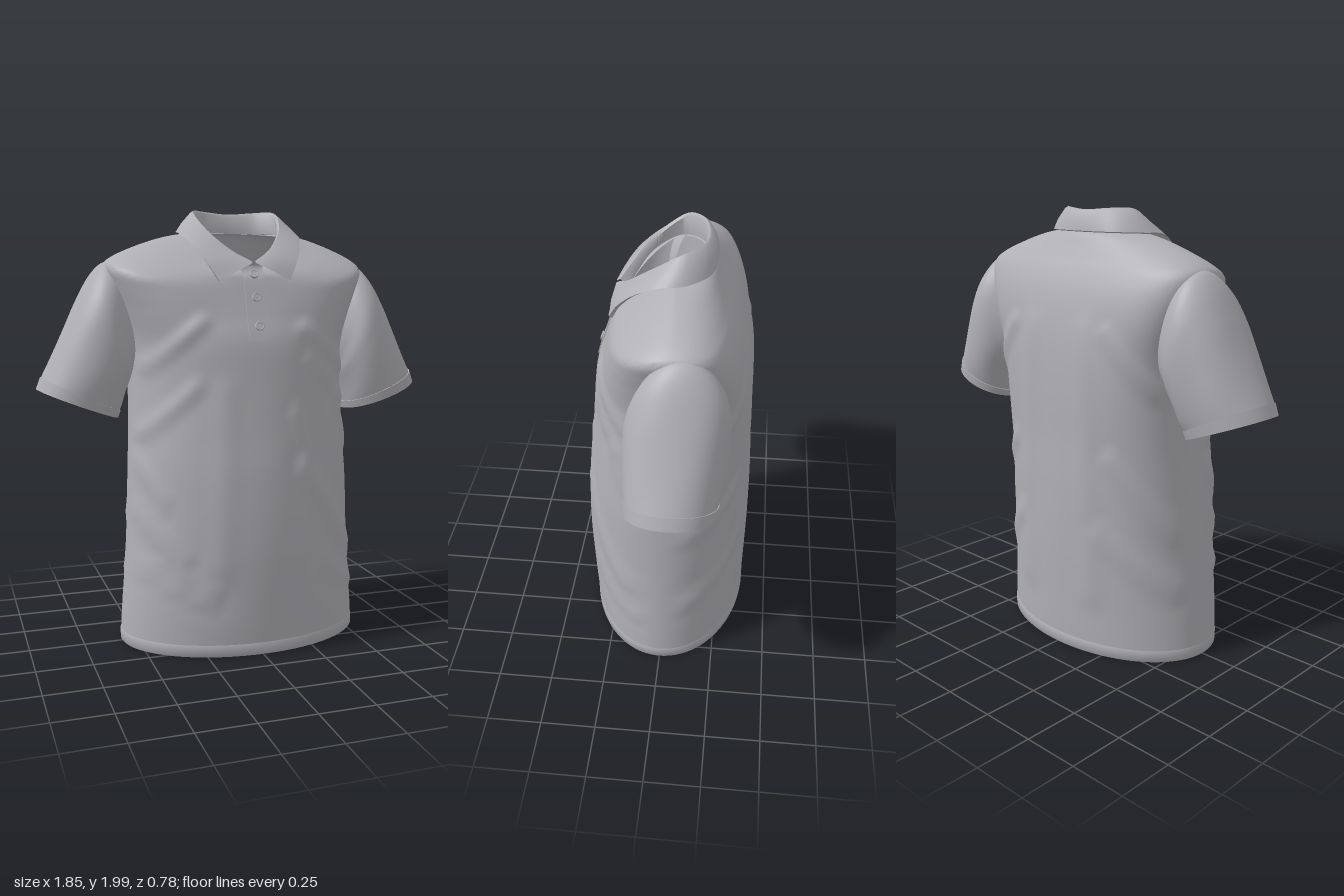
import * as THREE from 'three';
import { toCreasedNormals } from 'three/addons/utils/BufferGeometryUtils.js';

const V = (x, y, z) => new THREE.Vector3(x, y, z);
const fabric = new THREE.MeshStandardMaterial({ color: 0xb0afb4, side: THREE.DoubleSide });

// Joins rows of points into a smooth skin
function loft(rows, closed) {
  const n = rows[0].length, pos = [], idx = [];
  rows.forEach(r => r.forEach(p => pos.push(p.x, p.y, p.z)));
  for (let j = 0; j < rows.length - 1; j++) {
    for (let i = 0; i < (closed ? n : n - 1); i++) {
      const a = j * n + i, b = j * n + (i + 1) % n, c = a + n, d = b + n;
      idx.push(a, c, b, b, c, d);
    }
  }
  const g = new THREE.BufferGeometry();
  g.setAttribute('position', new THREE.Float32BufferAttribute(pos, 3));
  g.setIndex(idx);
  return toCreasedNormals(g, 0.9);
}

// Smoothly fills in steps between rows of section numbers
function fill(keys, steps) {
  const out = [], at = i => keys[Math.min(Math.max(i, 0), keys.length - 1)];
  for (let k = 0; k < keys.length - 1; k++) {
    for (let s = 0; s < steps; s++) {
      const t = s / steps;
      out.push(at(k).map((p1, c) => {
        const p0 = at(k - 1)[c], p2 = at(k + 1)[c], p3 = at(k + 2)[c];
        return p1 + 0.5 * t * (p2 - p0 + t * (2 * p0 - 5 * p1 + 4 * p2 - p3 + t * (3 * (p1 - p2) + p3 - p0)));
      }));
    }
  }
  out.push(at(keys.length - 1));
  return out;
}

// Cloth folds: x1, y1, x2, y2, width, height
const frontFolds = [
  [0.47, 1.28, 0.22, 1.47, 0.035, 0.016], [0.5, 1.12, 0.25, 1.33, 0.035, 0.014],
  [-0.47, 1.3, -0.25, 1.5, 0.035, 0.016], [-0.5, 1.0, -0.28, 1.22, 0.035, 0.014],
  [0.5, 0.42, 0.2, 0.85, 0.04, 0.018], [0.53, 0.25, 0.3, 0.4, 0.035, 0.014],
  [-0.54, 0.42, -0.22, 0.27, 0.03, 0.016], [-0.54, 0.68, -0.35, 0.45, 0.035, 0.016],
  [0.16, 1.1, 0.22, 0.9, 0.03, 0.01], [-0.16, 1.2, -0.2, 0.4, 0.06, 0.008],
  [0.5, 0.92, 0.4, 1.15, 0.03, 0.014], [-0.52, 0.9, -0.42, 0.7, 0.03, 0.014],
];
const backFolds = [
  [0.2, 0.3, 0.16, 1.5, 0.06, 0.01], [-0.2, 0.3, -0.16, 1.5, 0.06, 0.01],
  [0.48, 1.25, 0.28, 1.5, 0.035, 0.014], [-0.48, 1.25, -0.28, 1.5, 0.035, 0.014],
  [0.52, 0.35, 0.25, 0.6, 0.04, 0.016], [-0.52, 0.35, -0.25, 0.6, 0.04, 0.016],
  [0.52, 0.75, 0.3, 0.95, 0.035, 0.014], [-0.52, 0.6, -0.3, 0.95, 0.035, 0.014],
];
function foldHeight(x, y, front) {
  let h = 0;
  for (const [x1, y1, x2, y2, w, a] of front ? frontFolds : backFolds) {
    const dx = x2 - x1, dy = y2 - y1;
    const t = THREE.MathUtils.clamp(((x - x1) * dx + (y - y1) * dy) / (dx * dx + dy * dy), 0, 1);
    const d2 = (x - x1 - t * dx) ** 2 + (y - y1 - t * dy) ** 2;
    h += a * Math.exp(-d2 / (w * w)) - 0.4 * a * Math.exp(-d2 / (5 * w * w));
  }
  return h;
}

// Body sections: side y, front y, back y, half width, front z, back z, side z, front and back squareness
const bodyKeys = [
  [0.065, 0.065, 0.065, 0.572, 0.371, -0.376, 0, 2, 2],
  [0.2, 0.2, 0.2, 0.563, 0.38, -0.381, 0, 2, 2],
  [0.5, 0.5, 0.5, 0.54, 0.393, -0.388, 0, 2, 2.1],
  [0.8, 0.8, 0.8, 0.525, 0.383, -0.387, -0.01, 2.05, 2.2],
  [1.0, 1.0, 1.0, 0.513, 0.362, -0.38, -0.02, 2.1, 2.4],
  [1.2, 1.2, 1.2, 0.507, 0.341, -0.377, -0.05, 2.2, 2.6],
  [1.4, 1.4, 1.4, 0.512, 0.318, -0.366, -0.08, 2.4, 3],
  [1.55, 1.52, 1.55, 0.55, 0.28, -0.345, -0.09, 2.7, 3.4],
  [1.66, 1.6, 1.66, 0.59, 0.255, -0.315, -0.09, 2.8, 3.5],
  [1.74, 1.65, 1.74, 0.614, 0.24, -0.28, -0.08, 2.7, 3.3],
  [1.785, 1.68, 1.79, 0.575, 0.23, -0.25, -0.07, 2.45, 2.9],
  [1.835, 1.7, 1.84, 0.465, 0.222, -0.222, -0.06, 2.2, 2.4],
  [1.872, 1.715, 1.88, 0.35, 0.207, -0.2, -0.05, 2, 2.1],
  [1.89, 1.725, 1.9, 0.25, 0.19, -0.18, -0.04, 2, 2],
  [1.885, 1.73, 1.9, 0.195, 0.175, -0.155, -0.03, 2, 2],
];
const bodySections = fill(bodyKeys, 6);

function bodyRing([ys, yf, yb, w, zf, zb, zs, nf, nb], grow = 0) {
  const ring = [], count = 144;
  for (let i = 0; i < count; i++) {
    const a = i / count * Math.PI * 2, c = Math.cos(a), s = Math.sin(a);
    const front = s >= 0, e = 2 / (front ? nf : nb), k = Math.abs(s) ** e;
    const x = w * Math.sign(c) * Math.abs(c) ** e;
    const y = ys + ((front ? yf : yb) - ys) * Math.abs(s) ** 1.3;
    const z = zs + ((front ? zf : zb) - zs) * k;
    // Folds fade out at the hem, shoulders and side seams
    const calm = THREE.MathUtils.smoothstep(y, 0.06, 0.2) * (1 - THREE.MathUtils.smoothstep(y, 1.5, 1.7))
      * THREE.MathUtils.smoothstep(Math.abs(s), 0, 0.35);
    const h = grow + calm * foldHeight(x, y, front);
    ring.push(V(x + h * c, y, z + h * s));
  }
  return ring;
}

// Front surface depth on the centre line
function frontZ(y) {
  for (let i = 1; i < bodySections.length; i++) {
    const a = bodySections[i - 1], b = bodySections[i];
    if (y <= b[1]) return a[4] + (b[4] - a[4]) * (y - a[1]) / (b[1] - a[1]);
  }
  return 0.175;
}

// Sleeve sections: top x, top y, underside x, underside y, back z, front z
const sleeveKeys = [
  [0.555, 1.765, 0.44, 1.28, -0.24, 0.03],
  [0.618, 1.755, 0.49, 1.25, -0.283, 0.085],
  [0.678, 1.693, 0.508, 1.215, -0.3, 0.12],
  [0.74, 1.585, 0.525, 1.18, -0.298, 0.13],
  [0.802, 1.455, 0.538, 1.145, -0.288, 0.13],
  [0.862, 1.33, 0.549, 1.112, -0.274, 0.125],
  [0.906, 1.242, 0.557, 1.09, -0.26, 0.119],
];
function sleeveRing([tx, ty, bx, by, zb, zf], side, grow, wave) {
  const ring = [], count = 72;
  for (let i = 0; i < count; i++) {
    const a = i / count * Math.PI * 2, c = Math.cos(a), s = -side * Math.sin(a);
    const r = 1 + grow + wave * Math.sin(5 * a + tx * 14);
    const k = r * Math.sign(c) * Math.abs(c) ** 0.94, m = r * Math.sign(s) * Math.abs(s) ** 0.94;
    ring.push(V(side * ((tx + bx) / 2 + k * (tx - bx) / 2), (ty + by) / 2 + k * (ty - by) / 2,
      (zb + zf) / 2 + m * (zf - zb) / 2));
  }
  return ring;
}

export function createModel() {
  const shirt = new THREE.Group();
  shirt.name = 'poloShirt';
  const add = (name, geo, parent = shirt) => {
    const m = new THREE.Mesh(geo, fabric);
    m.name = name;
    parent.add(m);
    return m;
  };

  // Torso
  add('body', loft(bodySections.map(s => bodyRing(s)), true));

  // Turned hem band with an inner lip
  const hemAt = (y, grow) => bodyRing([y, y, y, 0.573, 0.371, -0.377, 0, 2, 2], grow);
  add('bottomHem', loft([hemAt(0.066, -0.008), hemAt(0.015, -0.008), hemAt(0.009, -0.003),
    hemAt(0.015, 0.002), hemAt(0.055, 0.002), hemAt(0.066, -0.002)], true));

  // Sleeves with turned cuffs
  for (const side of [1, -1]) {
    const label = side > 0 ? 'left' : 'right';
    const rows = fill(sleeveKeys, 6);
    add(label + 'Sleeve', loft(rows.map((s, i) =>
      sleeveRing(s, side, 0, 0.011 * Math.sin(i / (rows.length - 1) * Math.PI))), true));
    const near = [0.902, 1.248, 0.556, 1.093, -0.261, 0.12], far = [0.924, 1.196, 0.566, 1.06, -0.256, 0.117];
    const cuff = (s, grow) => sleeveRing(s, side, grow, 0);
    add(label + 'Cuff', loft([cuff(near, -0.02), cuff(near, 0.025), cuff(far, 0.015),
      cuff(far, -0.045), cuff(near, -0.04)], true));
  }

  // Fold-over collar: inner base, fold line and outer edge, from front centre to back centre
  const around = pts => new THREE.CatmullRomCurve3([
    ...pts.map(p => V(...p)), ...pts.slice(0, -1).reverse().map(([x, y, z]) => V(-x, y, z))], false, 'catmullrom', 0.5);
  const base = around([[0.005, 1.725, 0.18], [0.08, 1.765, 0.15], [0.15, 1.83, 0.09], [0.19, 1.88, 0],
    [0.185, 1.895, -0.07], [0.12, 1.9, -0.135], [0, 1.9, -0.155]]);
  const fold = around([[0.008, 1.75, 0.205], [0.08, 1.797, 0.16], [0.15, 1.872, 0.092], [0.186, 1.945, 0],
    [0.182, 1.984, -0.07], [0.115, 1.986, -0.133], [0, 1.978, -0.152]]);
  const leaf = around([[0.165, 1.678, 0.243], [0.213, 1.76, 0.2], [0.255, 1.835, 0.125], [0.286, 1.888, 0.02],
    [0.27, 1.897, -0.09], [0.17, 1.9, -0.183], [0, 1.9, -0.203]]);
  const collarRows = [[], [], [], [], [], [], []];
  for (let i = 0; i <= 96; i++) {
    const t = i / 96, b = base.getPoint(t), f = fold.getPoint(t), l = leaf.getPoint(t);
    const out = V(f.x, 0, f.z).normalize();
    const roll = (o, up) => f.clone().addScaledVector(out, o).add(V(0, up, 0));
    const outer = roll(0.026, 0.003);
    [b, f, roll(0.011, 0.012), outer, outer.clone().lerp(l, 0.5).addScaledVector(out, 0.006), l,
      l.clone().addScaledVector(out, -0.014).add(V(0, -0.005, 0))].forEach((p, j) => collarRows[j].push(p));
  }
  add('collar', loft(collarRows, false));

  // Button placket following the chest
  const placket = new THREE.BoxGeometry(0.1, 0.325, 0.024, 4, 16, 1);
  const p = placket.attributes.position;
  for (let i = 0; i < p.count; i++) {
    const y = p.getY(i) + 1.582;
    p.setXYZ(i, p.getX(i), y, frontZ(Math.min(y, 1.725)) + p.getZ(i) - 0.007);
  }
  add('placket', toCreasedNormals(placket, 0.9));

  // Buttons with raised rims
  for (const y of [1.705, 1.605, 1.48]) {
    const button = new THREE.Group();
    button.name = 'button';
    button.position.set(0, y, frontZ(y) + 0.006);
    button.rotation.x = -Math.atan2(frontZ(y - 0.03) - frontZ(y + 0.01), 0.04);
    const disc = new THREE.CylinderGeometry(0.019, 0.021, 0.01, 24);
    disc.rotateX(Math.PI / 2);
    add('buttonDisc', disc, button);
    add('buttonRim', new THREE.TorusGeometry(0.017, 0.004, 8, 24), button).position.z = 0.004;
    shirt.add(button);
  }
  return shirt;
}
